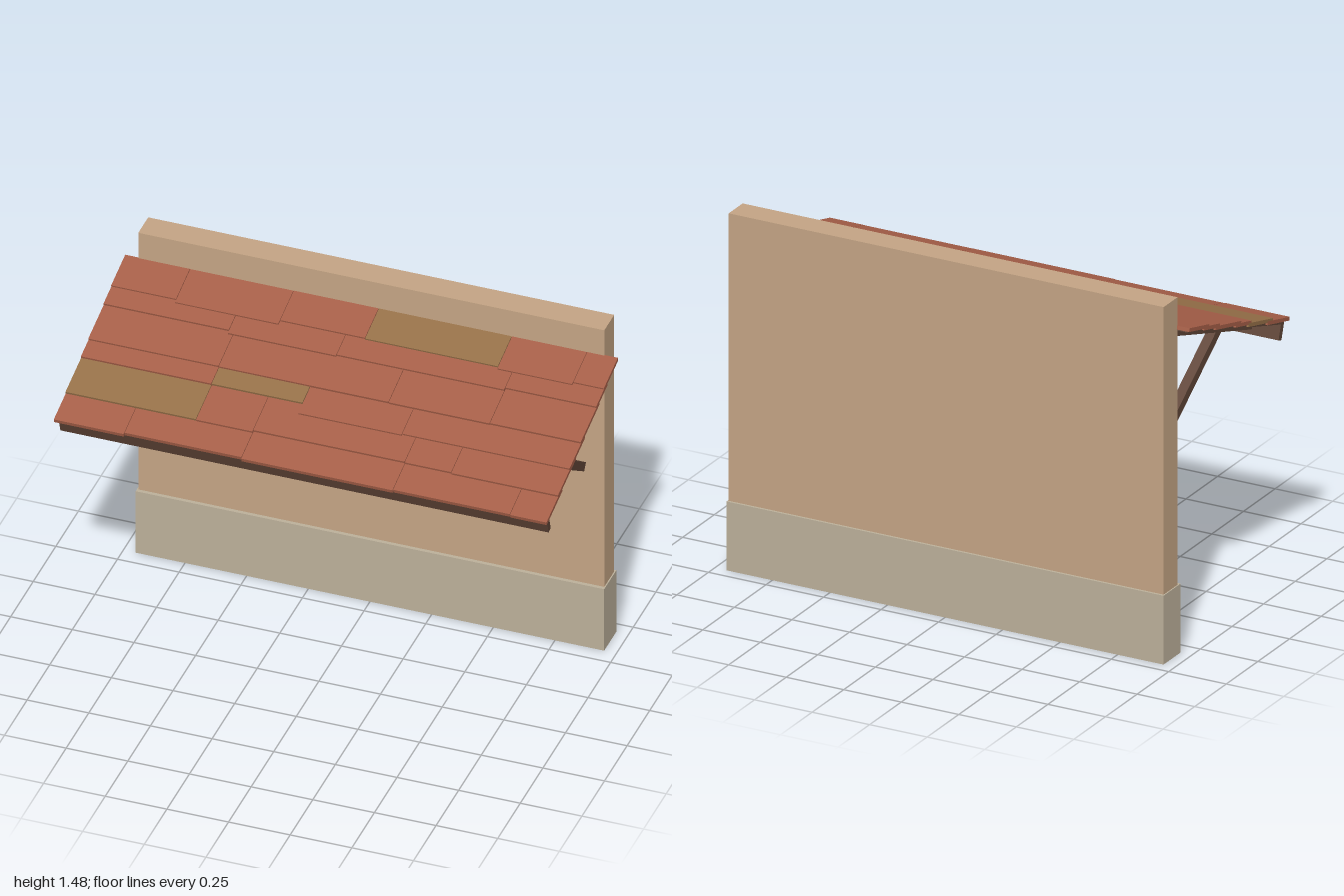
import * as THREE from 'three';

const mat = (name, color, side = THREE.FrontSide) => {
  const m = new THREE.MeshStandardMaterial({ color, side });
  m.name = name;
  return m;
};

export function createModel() {
  const model = new THREE.Group();
  model.name = 'wallAwning';
  const plaster = mat('tan plaster', 0xc4a484);
  const stone = mat('grey stone', 0xbcb09a, THREE.DoubleSide);
  const wood = mat('dark wood', 0x5f4436);
  const shingle = mat('red shingle', 0xa65f48);
  const moss = mat('mossy shingle', 0x967048);

  const box = (parent, name, material, w, h, d, x, y, z, rx = 0) => {
    const mesh = new THREE.Mesh(new THREE.BoxGeometry(w, h, d), material);
    mesh.name = name;
    mesh.position.set(x, y, z);
    mesh.rotation.x = rx;
    parent.add(mesh);
    return mesh;
  };

  // Wall on a slightly wider plinth, which is open underneath
  box(model, 'wall', plaster, 1.89, 1.195, 0.11, 0, 0.8775, -0.385);
  const plinth = box(model, 'plinth', stone, 1.9, 0.285, 0.135, 0, 0.1425, -0.3825);
  const index = Array.from(plinth.geometry.index.array);
  index.splice(18, 6);
  plinth.geometry.setIndex(index);
  plinth.geometry.clearGroups();

  // Roof frame: local z runs down the slope, local y is its normal
  const pitch = Math.atan(0.327);
  const topZ = -0.345;
  const roof = new THREE.Group();
  roof.name = 'roof';
  roof.position.set(0, 1.345, topZ);
  roof.rotation.x = pitch;
  model.add(roof);
  const along = (z) => (z - topZ) / Math.cos(pitch);

  // Deck, rafters and the front fascia board
  box(roof, 'deck', wood, 1.98, 0.009, 0.8, 0, 0.0015, 0.415);
  for (const x of [-0.85, -0.425, 0, 0.425, 0.85])
    box(roof, 'rafter', wood, 0.04, 0.045, 0.78, x, -0.0225, 0.41);
  box(roof, 'fascia', wood, 1.98, 0.066, 0.024, 0, -0.032, 0.802);

  // Shingle rows from the eave up: head z, then [right end x, tail z, mossy]
  const rows = [
    { head: 0.28, planks: [[-0.715, 0.45], [-0.24, 0.443], [0.375, 0.45], [0.85, 0.447], [1, 0.45]] },
    { head: 0.13, planks: [[-0.47, 0.32, true], [-0.24, 0.322], [0.375, 0.315], [0.565, 0.318], [1, 0.322]] },
    { head: 0.03, planks: [[-0.47, 0.15], [-0.1, 0.15, true], [0.32, 0.2], [1, 0.195]] },
    { head: -0.13, planks: [[-0.47, 0.068], [0.22, 0.07], [0.63, 0.072], [1, 0.07]] },
    { head: -0.22, planks: [[-0.49, -0.1], [-0.05, -0.085], [0.63, -0.09], [1, -0.1]] },
    { head: -0.338, planks: [[-0.735, -0.185], [-0.315, -0.17], [0.03, -0.188], [0.57, -0.185, true], [0.875, -0.175], [1, -0.185]] },
  ];
  for (const { head, planks } of rows) {
    let left = -1;
    for (const [right, tail, mossy] of planks) {
      const a = along(head), b = along(tail);
      box(roof, mossy ? 'mossyShingle' : 'shingle', mossy ? moss : shingle,
        right - left - 0.002, 0.015, b - a, (left + right) / 2, 0.014, (a + b) / 2, -0.06);
      left = right;
    }
  }

  // Diagonal braces from the wall up to the rafters
  for (const x of [-0.85, 0.85])
    box(model, 'brace', wood, 0.04, 0.036, 0.565, x, 0.99, -0.09, -Math.atan2(0.315, 0.455));

  return model;
}
